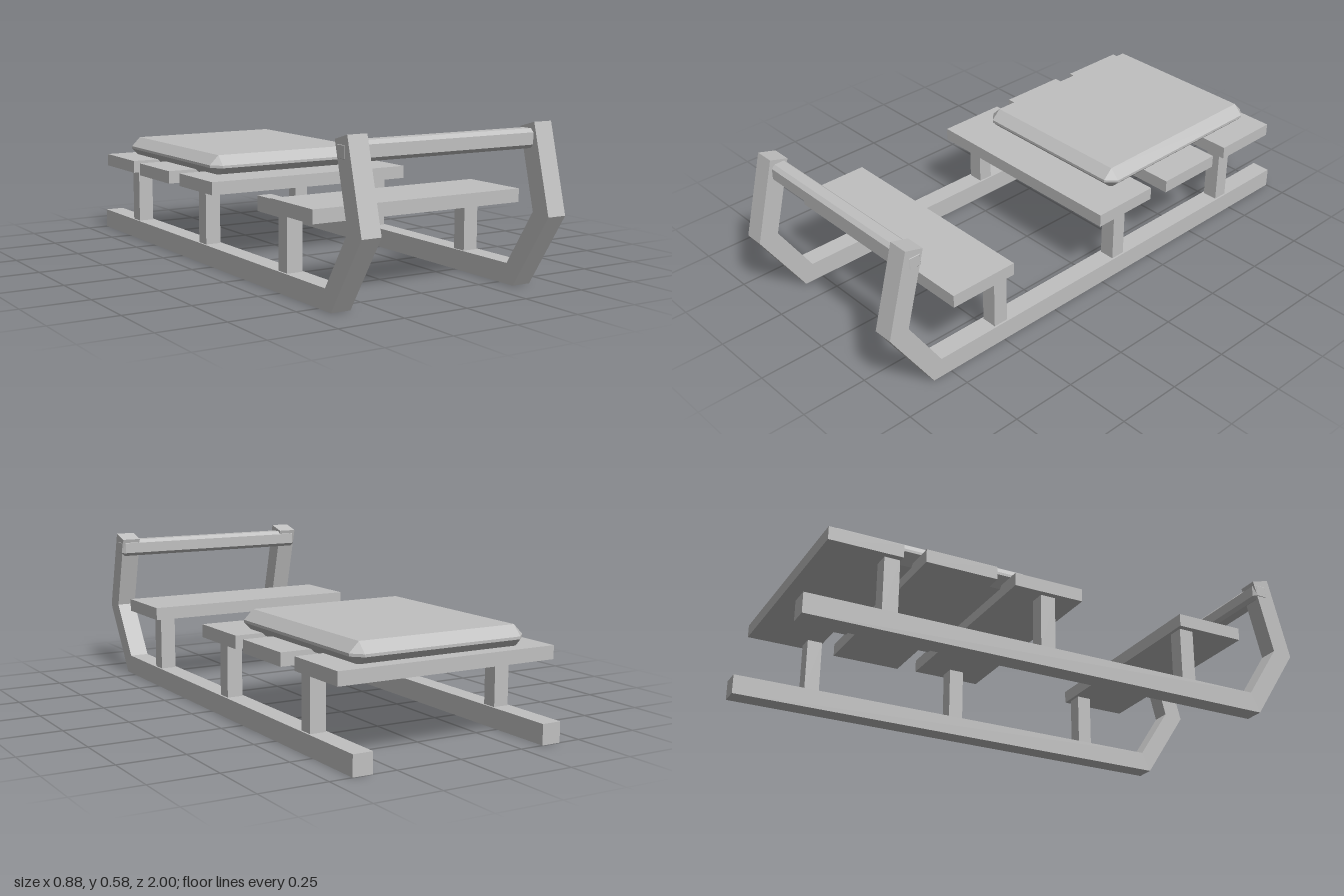
import * as THREE from 'three';
import { ConvexGeometry } from 'three/addons/geometries/ConvexGeometry.js';

const grey = new THREE.MeshStandardMaterial({ color: 0xc0c0c0 });
grey.name = 'plain grey';

// Box with every edge chamfered: each corner yields one point per face
function chamferBox(hx, hy, hz, b) {
  const points = [];
  for (const sx of [-1, 1]) for (const sy of [-1, 1]) for (const sz of [-1, 1]) {
    points.push(
      new THREE.Vector3(sx * hx, sy * (hy - b), sz * (hz - b)),
      new THREE.Vector3(sx * (hx - b), sy * hy, sz * (hz - b)),
      new THREE.Vector3(sx * (hx - b), sy * (hy - b), sz * hz));
  }
  return new ConvexGeometry(points);
}

export function createModel() {
  const sled = new THREE.Group();
  sled.name = 'sled';
  const add = (name, geometry, x, y, z) => {
    const mesh = new THREE.Mesh(geometry, grey);
    mesh.name = name;
    mesh.position.set(x, y, z);
    sled.add(mesh);
  };

  // Runner side profile as (z, y), bending up into the front arm
  const profile = new THREE.Shape([
    [-1, 0], [0.826, 0], [1, 0.268], [0.917, 0.585], [0.846, 0.565],
    [0.921, 0.277], [0.79, 0.075], [-1, 0.075],
  ].map(([z, y]) => new THREE.Vector2(z, y)));
  const runner = new THREE.ExtrudeGeometry(profile, { depth: 0.075, bevelEnabled: false });
  runner.translate(0, 0, -0.0375);
  runner.rotateY(-Math.PI / 2);

  const post = new THREE.BoxGeometry(0.06, 0.21, 0.058);
  for (const [side, s] of [['left', 1], ['right', -1]]) {
    add(side + 'Runner', runner, s * 0.378, 0, 0);
    // Posts carrying the slats
    for (const [place, z] of [['front', 0.51], ['middle', -0.09], ['back', -0.695]]) {
      add(side + place[0].toUpperCase() + place.slice(1) + 'Post', post, s * 0.378, 0.177, z);
    }
  }

  // Cross slats: name, half width, centre z
  for (const [name, half, z] of [
    ['footSlat', 0.432, 0.604],
    ['seatFrontSlat', 0.432, -0.098],
    ['seatMiddleSlat', 0.441, -0.447],
    ['seatBackSlat', 0.432, -0.799],
  ]) {
    add(name, new THREE.BoxGeometry(half * 2, 0.049, 0.273), 0, 0.3025, z);
  }

  // Seat cushion and the handle bar between the arms
  add('cushion', chamferBox(0.349, 0.042, 0.4, 0.037), 0, 0.358, -0.503);
  add('handleBar', chamferBox(0.417, 0.034, 0.033, 0.013), 0, 0.528, 0.881);

  return sled;
}
